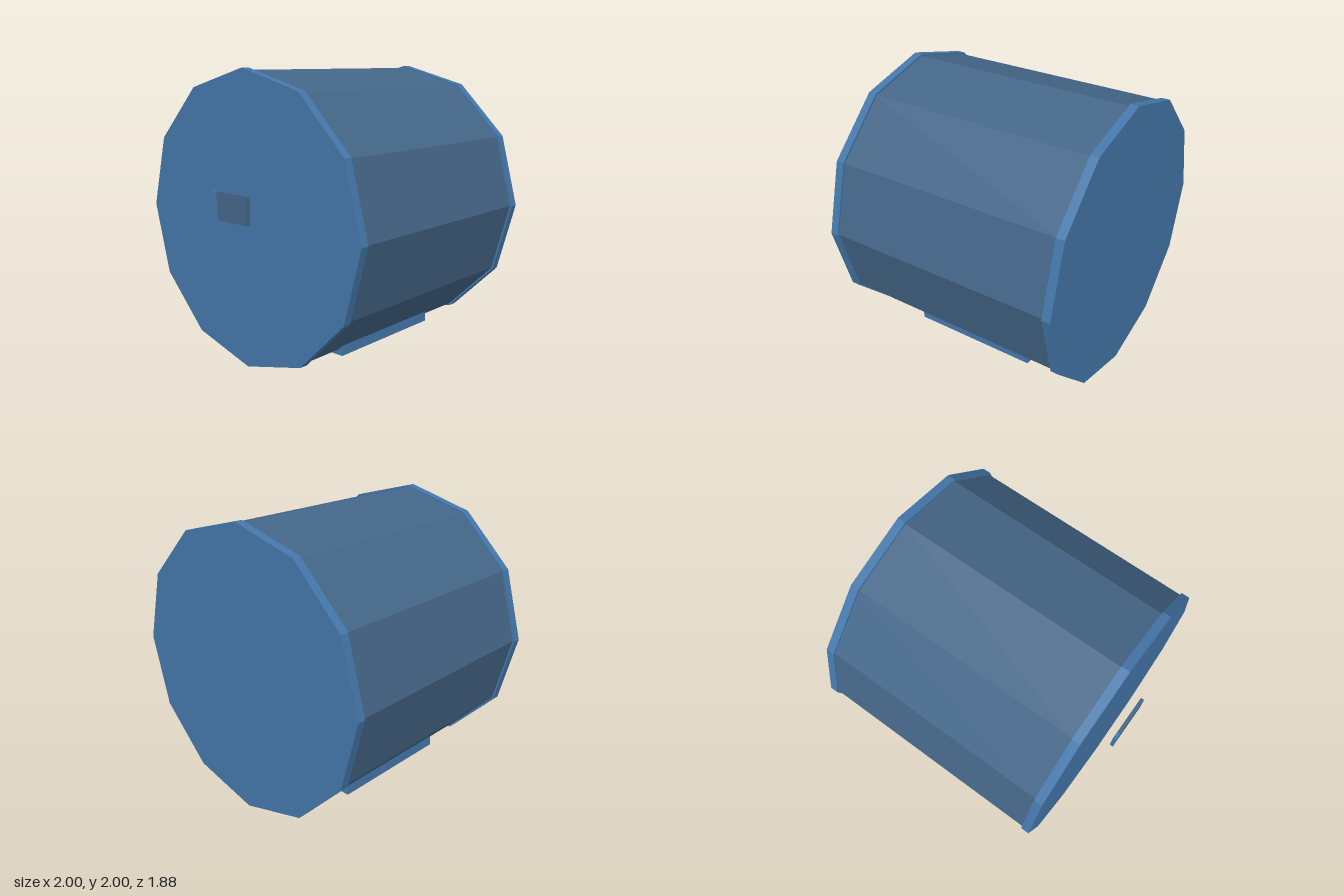
import * as THREE from 'three';

export function createModel() {
  const model = new THREE.Group();
  const material = (name, color) => {
    const m = new THREE.MeshStandardMaterial({ color, flatShading: true });
    m.name = name;
    return m;
  };
  const blue = material('blue', 0x4477aa);
  const slate = material('slate', 0x446688);

  const add = (name, geometry, mat, x, y, z) => {
    const mesh = new THREE.Mesh(geometry, mat);
    mesh.name = name;
    mesh.position.set(x, y, z);
    model.add(mesh);
  };

  // Twelve-sided drum lying along z, with a corner at the top
  const drum = (name, radius, z0, z1, mat) => {
    const geometry = new THREE.CylinderGeometry(radius, radius, z1 - z0, 12);
    geometry.rotateX(Math.PI / 2);
    add(name, geometry, mat, 0, 1, (z0 + z1) / 2);
  };
  drum('body', 0.985, -0.885, 0.755, slate);
  drum('frontCap', 1, 0.75, 0.81, blue);
  drum('backCap', 1, -0.94, -0.88, blue);

  // Feet under both sides
  for (const [name, side] of [['leftFoot', 1], ['rightFoot', -1]]) {
    add(name, new THREE.BoxGeometry(0.23, 0.07, 0.94), blue, side * 0.412, 0.145, -0.03);
  }

  // Label plate standing off the front, with a blue strip at one end
  add('labelPlate', new THREE.BoxGeometry(0.295, 0.19, 0.025), slate, 0.0275, 1.117, 0.93);
  add('labelStrip', new THREE.BoxGeometry(0.055, 0.19, 0.025), blue, -0.1475, 1.117, 0.93);

  return model;
}
